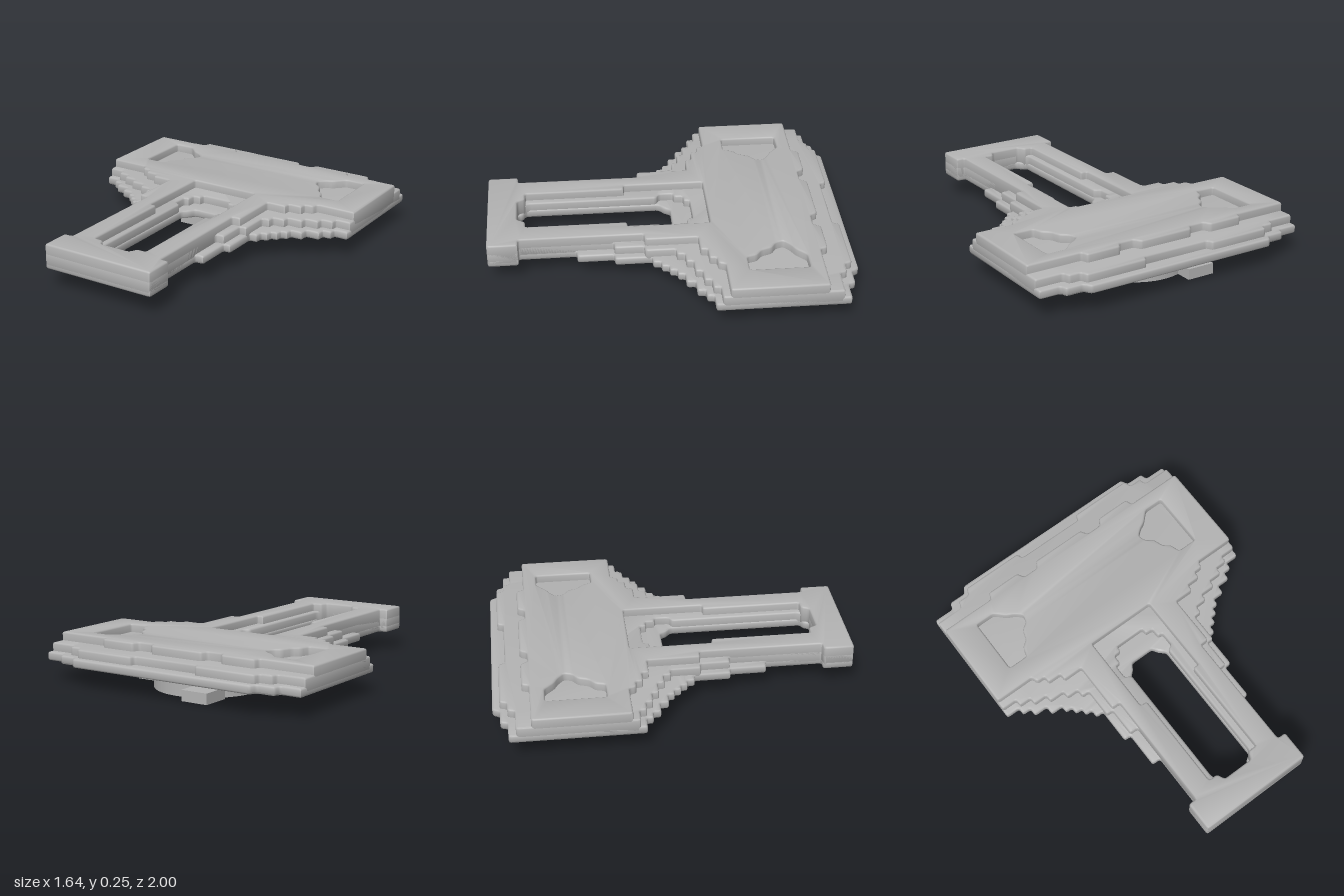
import * as THREE from 'three';
import { toCreasedNormals } from 'three/addons/utils/BufferGeometryUtils.js';

const BASE = 0.11;   // underside of the plate
const BEVEL = 0.01;

// Close a half outline (x >= 0) by mirroring it across x = 0
const mirror = (half) => [...half, ...half.slice().reverse().map(([x, z]) => [-x, z])];

// Draw a closed polygon with softened corners
function trace(path, points, r = 0.014) {
  const v = points.map(([x, z]) => new THREE.Vector2(x, z));
  v.forEach((p, i) => {
    const toward = (q) => p.clone().lerp(q, Math.min(0.45, r / p.distanceTo(q)));
    const a = toward(v[(i + v.length - 1) % v.length]);
    const b = toward(v[(i + 1) % v.length]);
    if (i === 0) path.moveTo(a.x, a.y);
    else path.lineTo(a.x, a.y);
    path.quadraticCurveTo(p.x, p.y, b.x, b.y);
  });
  path.closePath();
  return path;
}

// One terrace of the plate, from bottom to top, with cut-outs
function terrace(name, half, holes, bottom, top, material) {
  const shape = trace(new THREE.Shape(), mirror(half));
  shape.holes = holes.map((h) => trace(new THREE.Path(), h));
  const geometry = new THREE.ExtrudeGeometry(shape, {
    depth: top - bottom - 2 * BEVEL, curveSegments: 2, bevelEnabled: true,
    bevelThickness: BEVEL, bevelSize: BEVEL, bevelOffset: -BEVEL, bevelSegments: 2,
  });
  geometry.rotateX(Math.PI / 2);
  geometry.translate(0, top - BEVEL, 0);
  const mesh = new THREE.Mesh(toCreasedNormals(geometry, 0.9), material);
  mesh.name = name;
  return mesh;
}

export function createModel() {
  const grey = new THREE.MeshStandardMaterial({ color: 0xb3b3b3 });
  grey.name = 'plain grey';
  const model = new THREE.Group();
  model.name = 'steppedPlate';

  // Flared foot shared by every terrace
  const foot = [[0.285, 0.83], [0.335, 0.83], [0.335, 1]];

  // Lowest terrace: widest outline, narrowest slot
  const lower = [
    [0.57, -1], [0.59, -0.96], [0.69, -0.96], [0.7, -0.92], [0.82, -0.92],
    [0.82, -0.2], [0.74, -0.2], [0.74, -0.16], [0.69, -0.16], [0.69, -0.115],
    [0.61, -0.115], [0.61, -0.065], [0.54, -0.065], [0.54, -0.025], [0.5, -0.025],
    [0.5, 0.015], [0.46, 0.015], [0.46, 0.055], [0.42, 0.055], [0.42, 0.1],
    [0.375, 0.1], [0.375, 0.305], [0.335, 0.305], [0.335, 0.51], [0.285, 0.51], ...foot,
  ];
  const lowerSlot = mirror([
    [0.07, -0.035], [0.09, 0], [0.125, 0.03], [0.125, 0.79], [0.09, 0.805], [0.08, 0.835],
  ]);

  // Middle terrace
  const middle = [
    [0.2, -0.925], [0.21, -0.96], [0.57, -0.96], [0.58, -0.92], [0.65, -0.92], [0.66, -0.88],
    [0.82, -0.88], [0.82, -0.235], [0.73, -0.235], [0.73, -0.195], [0.66, -0.195],
    [0.66, -0.155], [0.58, -0.155], [0.58, -0.115], [0.49, -0.115], [0.49, -0.075],
    [0.42, -0.075], [0.42, -0.03], [0.375, -0.03], [0.375, 0.14], [0.335, 0.14],
    [0.335, 0.305], [0.285, 0.305], ...foot,
  ];
  const middleSlot = mirror([
    [0.09, -0.15], [0.09, -0.115], [0.135, -0.115], [0.135, -0.06], [0.165, -0.06],
    [0.165, 0.025], [0.13, 0.04], [0.13, 0.77], [0.115, 0.8], [0.09, 0.835],
  ]);

  // Upper terrace with raised tabs along the back edge
  const upper = [
    [0.16, -0.84], [0.18, -0.8], [0.27, -0.8], [0.29, -0.84], [0.49, -0.84], [0.5, -0.8],
    [0.82, -0.8], [0.82, -0.275], [0.59, -0.275], [0.58, -0.235], [0.53, -0.235],
    [0.53, -0.195], [0.45, -0.195], [0.45, -0.155], [0.335, -0.155], [0.335, 0.14],
    [0.285, 0.14], ...foot,
  ];
  const upperSlot = mirror([
    [0.203, -0.235], [0.203, 0.225], [0.163, 0.225], [0.163, 0.79], [0.11, 0.79], [0.09, 0.835],
  ]);
  const pocket = [
    [0.545, -0.72], [0.655, -0.72], [0.655, -0.395], [0.54, -0.395], [0.525, -0.45],
    [0.485, -0.48], [0.465, -0.54], [0.425, -0.565], [0.41, -0.61], [0.45, -0.645],
    [0.49, -0.665], [0.515, -0.69],
  ];
  const mirroredPocket = pocket.map(([x, z]) => [-x, z]);

  model.add(
    terrace('lowerTerrace', lower, [lowerSlot], BASE, 0.157, grey),
    terrace('middleTerrace', middle, [middleSlot], BASE + 0.015, 0.203, grey),
    terrace('upperTerrace', upper, [upperSlot, pocket, mirroredPocket], BASE + 0.03, 0.25, grey),
  );

  // Round mount under the plate with three locking lugs
  const mount = new THREE.Group();
  mount.name = 'mount';
  mount.position.z = -0.537;
  const disc = new THREE.Mesh(new THREE.CylinderGeometry(0.302, 0.302, 0.12, 64), grey);
  disc.name = 'mountDisc';
  disc.position.y = 0.06;
  mount.add(disc);
  for (let i = 0; i < 3; i++) {
    const angle = (i * Math.PI * 2) / 3;
    const lug = new THREE.Mesh(new THREE.BoxGeometry(0.16, 0.06, 0.16), grey);
    lug.name = 'mountLug';
    lug.position.set(0.347 * Math.cos(angle), 0.03, 0.347 * Math.sin(angle));
    mount.add(lug);
  }
  model.add(mount);
  return model;
}
